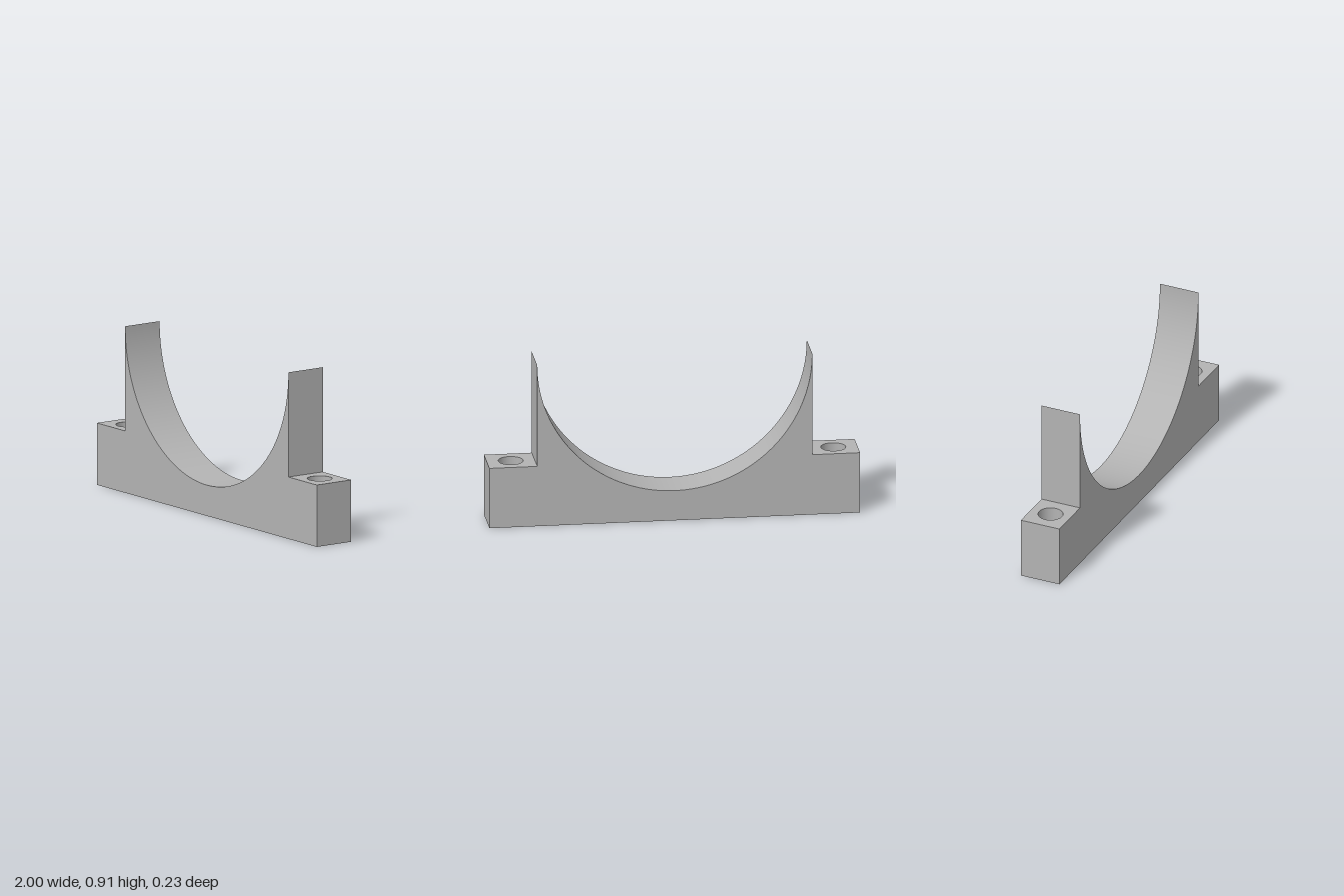
import * as THREE from 'three';

const R = 0.742;     // saddle radius, also half the width between the horns
const H = 0.91;      // horn tip height, also the saddle centre
const LEDGE = 0.338; // height of the bolt ears
const D = 0.114;     // half depth
const BOLT_X = 0.87, BORE = 0.067, COUNTERBORE = 0.108, STEP = 0.14;

export function createModel() {
  const group = new THREE.Group();
  group.name = 'pipeSaddleClamp';
  const grey = new THREE.MeshStandardMaterial({ color: 0xb3b3b3 });
  grey.name = 'plain grey';

  const add = (name, geometry, parent = group) => {
    const mesh = new THREE.Mesh(geometry, grey);
    mesh.name = name;
    parent.add(mesh);
    return mesh;
  };

  // rectangle in plan with round holes
  const plate = (x0, x1, holes, r) => {
    const s = new THREE.Shape();
    s.moveTo(x0, -D).lineTo(x1, -D).lineTo(x1, D).lineTo(x0, D).closePath();
    for (const x of holes) s.holes.push(new THREE.Path().absarc(x, 0, r, 0, Math.PI * 2, true));
    return new THREE.ShapeGeometry(s, 24);
  };

  // front and back faces
  const profile = new THREE.Shape();
  profile.moveTo(-1, 0).lineTo(1, 0).lineTo(1, LEDGE).lineTo(R, LEDGE).lineTo(R, H);
  profile.absarc(0, H, R, 0, -Math.PI, true);
  profile.lineTo(-R, LEDGE).lineTo(-1, LEDGE).closePath();
  const face = new THREE.ShapeGeometry(profile, 48);
  add('frontFace', face).position.z = D;
  const back = add('backFace', face);
  back.position.z = -D;
  back.rotation.y = Math.PI;

  // curved saddle, facing inwards
  const saddle = new THREE.LatheGeometry(
    [new THREE.Vector2(R, D), new THREE.Vector2(R, -D)], 96, -Math.PI / 2, Math.PI);
  add('saddle', saddle.rotateX(Math.PI / 2)).position.y = H;

  // underside with the counterbore openings
  add('underside', plate(-1, 1, [-BOLT_X, BOLT_X], COUNTERBORE).rotateX(Math.PI / 2));

  // ears, horn walls and stepped bolt holes on both sides
  const bore = [[BORE, LEDGE], [BORE, STEP], [COUNTERBORE, STEP], [COUNTERBORE, 0]]
    .map(([x, y]) => new THREE.Vector2(x, y));
  for (const side of [1, -1]) {
    const ear = new THREE.Group();
    ear.name = side > 0 ? 'leftEar' : 'rightEar';
    ear.rotation.y = side > 0 ? 0 : Math.PI;
    group.add(ear);

    const wall = (name, x, y0, y1) => add(name,
      new THREE.PlaneGeometry(2 * D, y1 - y0).rotateY(Math.PI / 2), ear)
      .position.set(x, (y0 + y1) / 2, 0);
    wall('endWall', 1, 0, LEDGE);
    wall('hornWall', R, LEDGE, H);

    add('ledge', plate(R, 1, [BOLT_X], BORE).rotateX(-Math.PI / 2), ear).position.y = LEDGE;
    for (let i = 0; i < 3; i++) {
      add(['boltHole', 'counterboreStep', 'counterbore'][i],
        new THREE.LatheGeometry([bore[i], bore[i + 1]], 48), ear).position.x = BOLT_X;
    }
  }
  return group;
}
